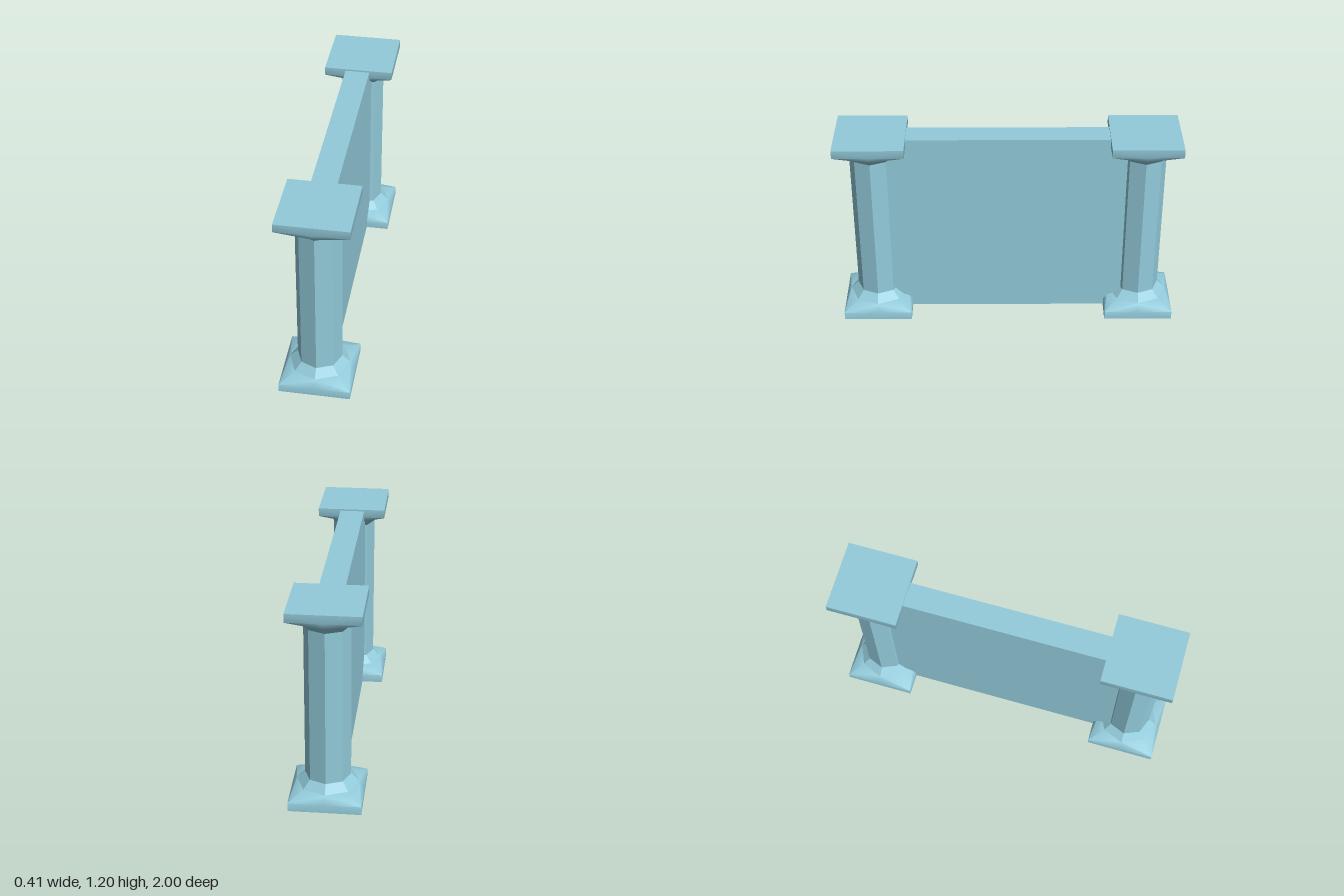
import * as THREE from 'three';
import { toCreasedNormals } from 'three/addons/utils/BufferGeometryUtils.js';

const HEIGHT = 1.2;

// Eight points around y: even ones lie on the axes, odd ones on the diagonals.
function ring(y, axial, diagonal) {
  return Array.from({ length: 8 }, (_, i) => {
    const a = (i * Math.PI) / 4;
    const r = i % 2 ? diagonal : axial;
    return new THREE.Vector3(Math.sin(a) * r, y, Math.cos(a) * r);
  });
}

// Joins the rings from bottom to top and closes both ends.
function loft(rings, crease) {
  const points = [];
  for (let k = 0; k < rings.length - 1; k++) {
    for (let i = 0; i < 8; i++) {
      const j = (i + 1) % 8;
      const a = rings[k][i], b = rings[k][j], c = rings[k + 1][j], d = rings[k + 1][i];
      points.push(...(i % 2 ? [a, b, c, a, c, d] : [a, b, d, b, c, d]));
    }
  }
  const first = rings[0], last = rings[rings.length - 1];
  for (let i = 1; i < 7; i++) {
    points.push(first[0], first[i + 1], first[i], last[0], last[i], last[i + 1]);
  }
  return toCreasedNormals(new THREE.BufferGeometry().setFromPoints(points), crease);
}

export function createModel() {
  const model = new THREE.Group();
  model.name = 'pillaredWall';
  const stone = new THREE.MeshStandardMaterial({ color: 0x93cbdb });
  stone.name = 'paleBlueStone';

  const add = (parent, name, geometry, y) => {
    const mesh = new THREE.Mesh(geometry, stone);
    mesh.name = name;
    mesh.position.y = y;
    parent.add(mesh);
    return mesh;
  };

  // Square plinth flaring into an octagon, the faceted collar above it, and the shaft
  const half = 0.205, corner = half * Math.SQRT2;
  const flare = loft([ring(0, half, corner), ring(0.05, half, corner), ring(0.095, 0.177, 0.177)], 0.9);
  const collar = loft([ring(0.095, 0.177, 0.177), ring(0.14, 0.13, 0.13)], 0.3);
  const shaft = loft([ring(0.14, 0.13, 0.13), ring(HEIGHT - 0.14, 0.13, 0.13)], 0.3);

  for (const side of [1, -1]) {
    const pillar = new THREE.Group();
    pillar.name = side > 0 ? 'frontPillar' : 'backPillar';
    pillar.position.z = side * (1 - half);
    add(pillar, 'base', flare, 0);
    add(pillar, 'baseCollar', collar, 0);
    add(pillar, 'shaft', shaft, 0);
    // The capital is the base turned upside down
    add(pillar, 'capital', flare, HEIGHT).rotation.x = Math.PI;
    add(pillar, 'capitalCollar', collar, HEIGHT).rotation.x = Math.PI;
    model.add(pillar);
  }

  // Wall panel between the pillars
  add(model, 'wall', new THREE.BoxGeometry(0.146, 1.18, 1.5), HEIGHT / 2).position.x = -0.005;

  return model;
}
